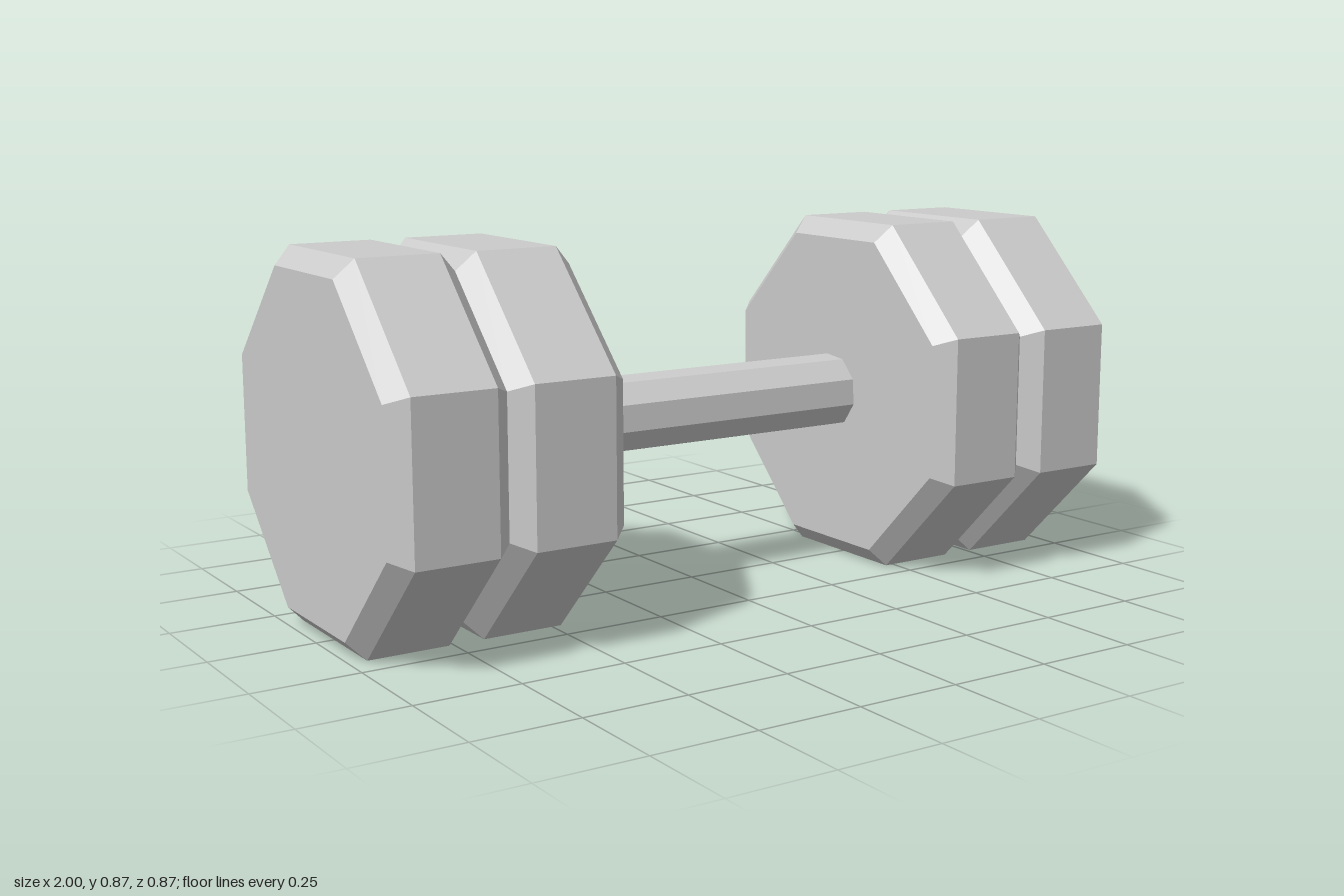
import * as THREE from 'three';

const CENTER_Y = 0.436;

export function createModel() {
  const dumbbell = new THREE.Group();
  dumbbell.name = 'dumbbell';
  const material = new THREE.MeshStandardMaterial({ color: 0xcccccc, flatShading: true });

  // Every part is turned about the x axis
  const addPart = (name, geometry, x) => {
    geometry.rotateZ(Math.PI / 2);
    const mesh = new THREE.Mesh(geometry, material);
    mesh.name = name;
    mesh.position.set(x, CENTER_Y, 0);
    dumbbell.add(mesh);
  };

  // Eight-sided weight plates with bevelled rims, two on each end
  const toCorner = 1 / Math.cos(Math.PI / 8);
  const rim = 0.436 * toCorner;
  const face = 0.393 * toCorner;
  const half = 0.1412;
  const bevel = 0.043;
  const profile = [
    [0, -half], [face, -half], [rim, bevel - half],
    [rim, half - bevel], [face, half], [0, half],
  ].map(([r, y]) => new THREE.Vector2(r, y));

  for (const [side, sign] of [['left', 1], ['right', -1]]) {
    addPart(`${side}InnerPlate`, new THREE.LatheGeometry(profile, 8, Math.PI / 8), sign * (1 - 3 * half));
    addPart(`${side}OuterPlate`, new THREE.LatheGeometry(profile, 8, Math.PI / 8), sign * (1 - half));
  }

  // Nine-sided grip, its ends sunk slightly into the inner plates
  const gripTurn = THREE.MathUtils.degToRad(24);
  addPart('grip', new THREE.CylinderGeometry(0.094, 0.094, 0.9, 9, 1, false, gripTurn), 0);

  return dumbbell;
}
